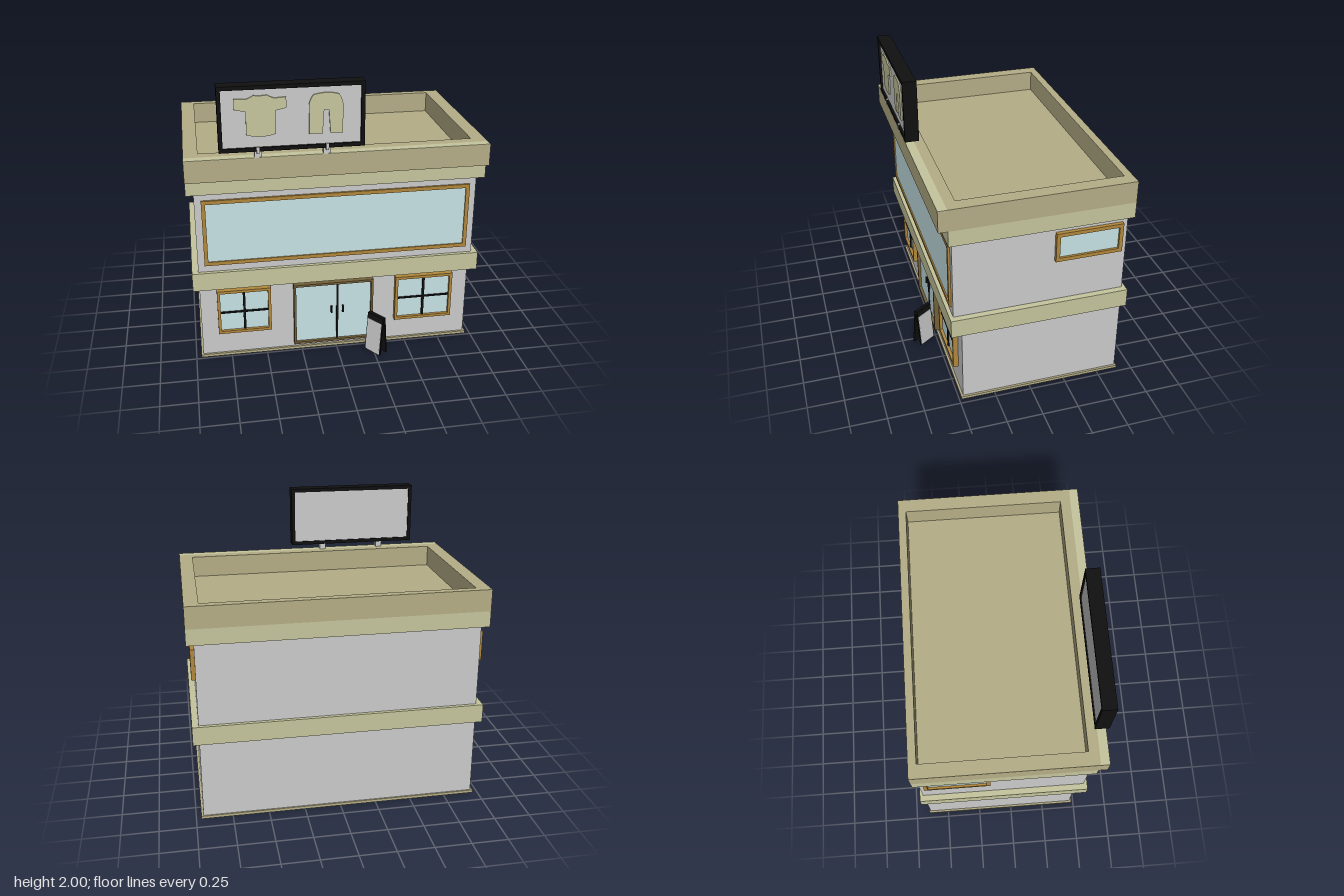
import * as THREE from 'three';

const mat = (color, side = THREE.FrontSide) => new THREE.MeshStandardMaterial({ color, side });
const GREY = mat(0xcccccc), WALL = mat(0xcccccc, THREE.DoubleSide);
const LIGHT = mat(0xc6c69e), DARK = mat(0xb5ae87), ROOF = mat(0xb5ae87, THREE.DoubleSide);
const GOLD = mat(0xb2883c), BROWN = mat(0x73613a), GLASS = mat(0xc8e3e6), BLACK = mat(0x101010);

function add(parent, name, geometry, material, x = 0, y = 0, z = 0) {
  const m = new THREE.Mesh(geometry, material);
  m.name = name;
  m.position.set(x, y, z);
  parent.add(m);
  return m;
}

// Box given by its extents
const block = (parent, name, material, x0, x1, y0, y1, z0, z1) =>
  add(parent, name, new THREE.BoxGeometry(x1 - x0, y1 - y0, z1 - z0), material,
    (x0 + x1) / 2, (y0 + y1) / 2, (z0 + z1) / 2);

const corners = ([x0, x1, y0, y1]) =>
  [[x0, y0], [x1, y0], [x1, y1], [x0, y1]].map(p => new THREE.Vector2(...p));

// Rectangle [x0, x1, y0, y1] with rectangular holes
function rect(outer, holes = []) {
  const s = new THREE.Shape(corners(outer));
  s.holes = holes.map(h => new THREE.Path(corners(h).reverse()));
  return s;
}

const extrude = (shape, depth) => new THREE.ExtrudeGeometry(shape, { depth, bevelEnabled: false });

// Horizontal ring; outer and inner are [x0, x1, z0, z1]
function ring(parent, name, material, outer, inner, y0, y1) {
  const flip = ([a, b, c, d]) => [a, b, -d, -c];
  const g = extrude(rect(flip(outer), [flip(inner)]), y1 - y0).rotateX(-Math.PI / 2);
  return add(parent, name, g, material, 0, y0, 0);
}

// Frame with glass, facing local +z
function windowUnit(parent, name, [x0, x1, y0, y1], depth, frameMat, t = 0.024) {
  const g = new THREE.Group();
  g.name = name;
  const inner = [x0 + t, x1 - t, y0 + t, y1 - t];
  add(g, name + 'Frame', extrude(rect([x0, x1, y0, y1], [inner]), depth + 0.008), frameMat, 0, 0, -0.008);
  block(g, name + 'Glass', GLASS, ...inner, -0.003, depth * 0.4);
  parent.add(g);
  return g;
}

export function createModel() {
  const model = new THREE.Group();
  model.name = 'shopBuilding';

  const W = 0.95, BACK = -0.64, LOW = 0.47, HIGH = 0.525;
  const leftWin = [-0.835, -0.465, 0.19, 0.525];
  const rightWin = [0.42, 0.835, 0.18, 0.525];
  const door = [-0.305, 0.26, 0.05, 0.525];
  const bigWin = [-0.905, 0.905, 0.75, 1.22];
  const hole = ([a, b, c, d]) => [a + 0.01, b - 0.01, c + 0.01, d - 0.01];

  // Thin walls of both storeys, open inside
  const storeys = [
    { n: 'lower', y0: 0, y1: 0.57, front: LOW, holes: [leftWin, rightWin, door], side: [] },
    { n: 'upper', y0: 0.7, y1: 1.38, front: HIGH, holes: [bigWin], side: [[0.15, 0.605, 1.01, 1.22]] },
  ];
  for (const s of storeys) {
    add(model, s.n + 'FrontWall', new THREE.ShapeGeometry(rect([-W, W, s.y0, s.y1], s.holes.map(hole))), WALL, 0, 0, s.front);
    add(model, s.n + 'BackWall', new THREE.ShapeGeometry(rect([-W, W, s.y0, s.y1])), WALL, 0, 0, BACK).rotation.y = Math.PI;
    const sideShape = rect([-s.front, -BACK, s.y0, s.y1], s.side.map(hole));
    for (const k of [-1, 1]) {
      const g = new THREE.ShapeGeometry(sideShape);
      if (k < 0) g.scale(-1, 1, 1).rotateY(Math.PI);
      const wall = add(model, s.n + (k > 0 ? 'LeftWall' : 'RightWall'), g, WALL, k * W, 0, 0);
      wall.rotation.y = Math.PI / 2;
    }
  }

  // Plinth, middle ledge, cornice and parapet
  ring(model, 'plinth', DARK, [-0.965, 0.965, -0.65, 0.485], [-W, W, BACK, LOW], 0, 0.02);
  ring(model, 'middleLedge', LIGHT, [-0.993, 0.993, -0.665, 0.55], [-W, W, BACK, LOW], 0.57, 0.7);
  ring(model, 'cornice', LIGHT, [-1, 1, -0.665, 0.555], [-W, W, BACK, HIGH], 1.27, 1.38);
  ring(model, 'parapet', DARK, [-1, 1, -0.665, 0.555], [-0.905, 0.905, -0.61, 0.485], 1.38, 1.53);
  block(model, 'frontFascia', DARK, -1, 1, 1.38, 1.526, 0.555, 0.615);
  block(model, 'fasciaCap', LIGHT, -1, 1, 1.526, 1.53, 0.555, 0.615);
  const deck = add(model, 'roofDeck', new THREE.PlaneGeometry(1.9, 1.165), ROOF, 0, 1.382, -0.0575);
  deck.rotation.x = -Math.PI / 2;

  // Ground-floor windows with crossbars
  for (const [name, r] of [['rightWindow', leftWin], ['leftWindow', rightWin]]) {
    const g = windowUnit(model, name, r, 0.035, GOLD, 0.02);
    g.position.z = LOW;
    const cx = (r[0] + r[1]) / 2, cy = 0.35;
    block(g, 'uprightBar', BLACK, cx - 0.008, cx + 0.008, r[2] + 0.02, r[3] - 0.02, 0.01, 0.024);
    block(g, 'crossBar', BLACK, r[0] + 0.02, r[1] - 0.02, cy - 0.006, cy + 0.006, 0.01, 0.023);
  }

  // Double door
  const doors = windowUnit(model, 'doubleDoor', door, 0.035, BROWN, 0.016);
  doors.position.z = LOW;
  block(doors, 'doorDivider', BLACK, -0.002, 0.012, 0.066, 0.509, 0.01, 0.02);
  for (const x of [-0.036, 0.044]) block(doors, 'doorHandle', BLACK, x - 0.006, x + 0.006, 0.28, 0.33, 0.01, 0.03);

  // Upper windows
  windowUnit(model, 'displayWindow', bigWin, 0.015, GOLD, 0.026).position.z = HIGH;
  for (const k of [-1, 1]) {
    const r = k > 0 ? [0.15, 0.605, 1.01, 1.22] : [-0.605, -0.15, 1.01, 1.22];
    const g = windowUnit(model, k > 0 ? 'leftSideWindow' : 'rightSideWindow', r, 0.027, GOLD, 0.026);
    g.rotation.y = k * Math.PI / 2;
    g.position.x = k * W;
  }

  // Roof sign
  const sign = new THREE.Group();
  sign.name = 'roofSign';
  model.add(sign);
  add(sign, 'signFrame', extrude(rect([-0.775, 0.15, 1.575, 2], [[-0.75, 0.125, 1.6, 1.975]]), 0.095), BLACK, 0, 0, 0.535);
  block(sign, 'signPanel', GREY, -0.75, 0.125, 1.6, 1.975, 0.543, 0.615);
  for (const x of [-0.53, -0.09]) {
    block(sign, 'signPost', GREY, x - 0.022, x + 0.022, 1.53, 1.58, 0.557, 0.612);
    block(sign, 'signClip', GREY, x - 0.009, x + 0.009, 1.56, 1.602, 0.61, 0.632);
  }

  // Shirt and trousers cut-outs
  const shirt = new THREE.Shape();
  shirt.moveTo(-0.67, 1.92);
  shirt.lineTo(-0.67, 1.85);
  shirt.lineTo(-0.6, 1.835);
  shirt.lineTo(-0.6, 1.685);
  shirt.quadraticCurveTo(-0.508, 1.655, -0.415, 1.685);
  shirt.lineTo(-0.415, 1.835);
  shirt.lineTo(-0.347, 1.85);
  shirt.lineTo(-0.347, 1.92);
  shirt.lineTo(-0.42, 1.915);
  shirt.quadraticCurveTo(-0.45, 1.925, -0.465, 1.937);
  shirt.quadraticCurveTo(-0.508, 1.93, -0.55, 1.937);
  shirt.quadraticCurveTo(-0.565, 1.925, -0.595, 1.915);
  const trousers = new THREE.Shape();
  trousers.moveTo(-0.205, 1.67);
  trousers.lineTo(-0.12, 1.67);
  trousers.lineTo(-0.11, 1.825);
  trousers.lineTo(-0.08, 1.825);
  trousers.lineTo(-0.07, 1.67);
  trousers.lineTo(0.01, 1.67);
  trousers.lineTo(0.01, 1.86);
  trousers.quadraticCurveTo(0, 1.91, -0.02, 1.925);
  trousers.quadraticCurveTo(-0.097, 1.945, -0.175, 1.925);
  trousers.quadraticCurveTo(-0.2, 1.9, -0.205, 1.86);
  add(sign, 'shirtShape', extrude(shirt, 0.012), LIGHT, 0, 0, 0.613);
  add(sign, 'trousersShape', extrude(trousers, 0.012), LIGHT, 0, 0, 0.613);

  // Folding pavement board
  const board = new THREE.Group();
  board.name = 'pavementBoard';
  board.position.set(0.268, 0, 0.593);
  board.rotation.y = THREE.MathUtils.degToRad(35);
  model.add(board);
  for (const k of [-1, 1]) {
    const leaf = new THREE.Group();
    leaf.name = 'boardLeaf';
    leaf.position.x = k * 0.033;
    leaf.rotation.z = k * 0.085;
    board.add(leaf);
    block(leaf, 'leafBack', BLACK, -0.006, 0.006, 0.001, 0.29, -0.07, 0.07);
    add(leaf, 'leafFace', new THREE.BoxGeometry(0.004, 0.245, 0.13), GREY, k * 0.006, 0.125, 0);
  }
  block(board, 'boardHinge', BLACK, -0.012, 0.012, 0.265, 0.292, -0.068, 0.068);

  return model;
}
